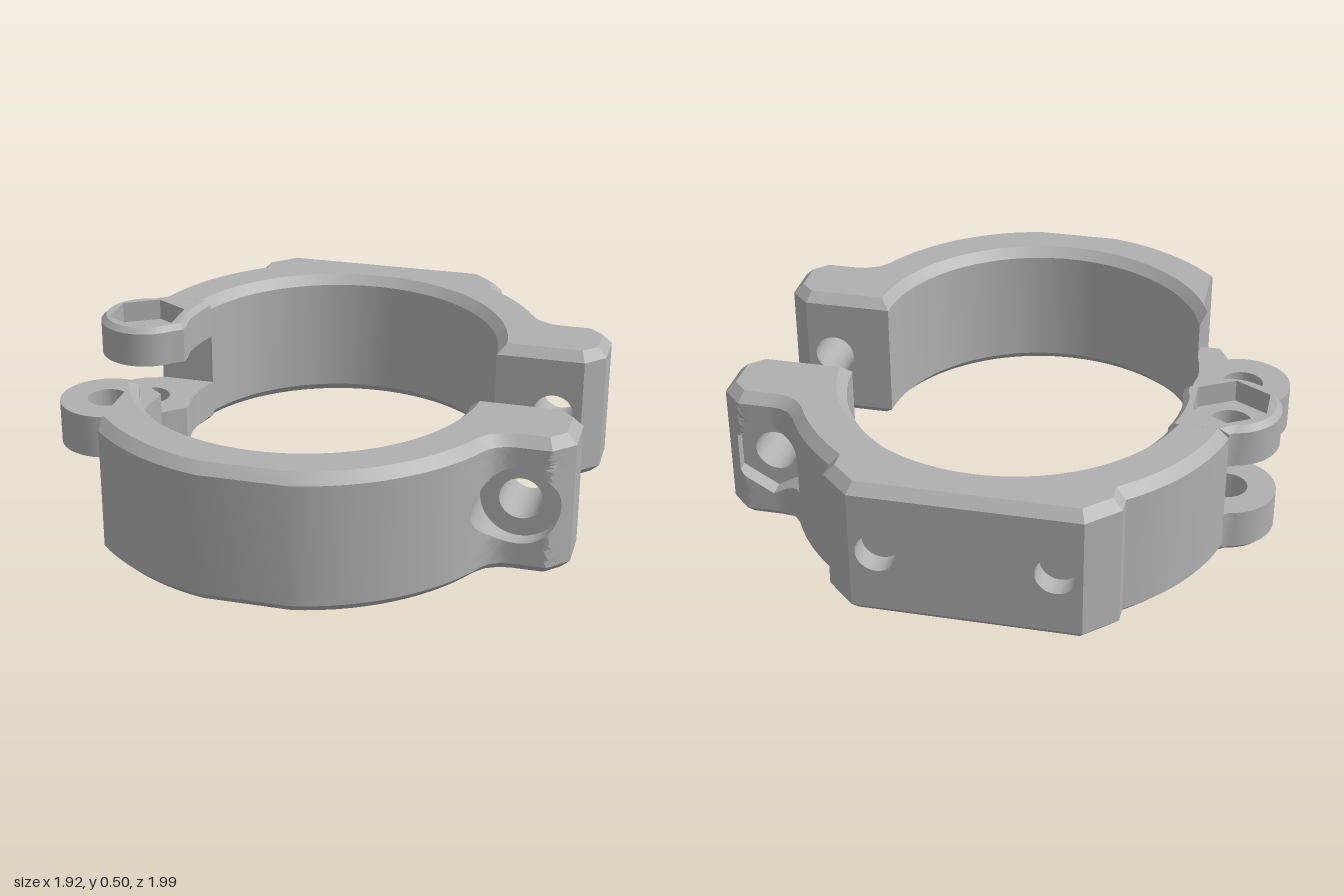
import * as THREE from 'three';
import { toCreasedNormals } from 'three/addons/utils/BufferGeometryUtils.js';

const H = 0.505, C = 0.035;            // height and edge chamfer
const CX = -0.03, CZ = 0.215;          // ring centre
const RI = 0.595, RO = 0.795;          // ring radii
const BORE = 0.075, BOLT = [0.785, 0.255], HINGE = [-0.79, 0.215];
const rad = THREE.MathUtils.degToRad;

// Outlines are loops of [x, z, chamfer (0/1), open wall], drawn for z > 0.
function arc(r, a0, a1, n, cx = CX, cz = CZ) {
  return Array.from({ length: n + 1 }, (_, i) => {
    const a = rad(a0 + (a1 - a0) * i / n);
    return [cx + r * Math.cos(a), cz + r * Math.sin(a)];
  });
}
const unchamferLast = (pts) => { pts[pts.length - 1][2] = 0; return pts; };
const hexagon = (r, [cx, cz]) => arc(r, 30, 330, 5, cx, cz);
const circle = (r, [cx, cz]) => arc(r, 0, 352.5, 47, cx, cz);

// Move every edge of a loop inwards by c, except the unchamfered ones
function inset(loop, c) {
  const n = loop.length;
  const normal = (a, b) => {
    const dx = b[0] - a[0], dz = b[1] - a[1], l = Math.hypot(dx, dz);
    return [dz / l, -dx / l];
  };
  return loop.map((p, i) => {
    const q = loop[(i + n - 1) % n];
    const m = normal(q, p), k = normal(p, loop[(i + 1) % n]);
    const cm = -c * (q[2] ?? 1), ck = -c * (p[2] ?? 1);
    const det = m[0] * k[1] - m[1] * k[0];
    if (Math.abs(det) < 0.03) return [p[0] + m[0] * cm, p[1] + m[1] * cm];
    return [p[0] + (cm * k[1] - ck * m[1]) / det, p[1] + (ck * m[0] - cm * k[0]) / det];
  });
}

// Collects triangles; side = -1 mirrors them to the back half
function surface(side) {
  const pos = [];
  const tri = (a, b, c) => {
    for (const p of side > 0 ? [a, b, c] : [a, c, b]) pos.push(p[0], p[1], p[2] * side);
  };
  const quad = (a, b, c, d) => { tri(a, b, c); tri(a, c, d); };

  function wall(lo, y0, hi, y1, skip = false) {
    lo.forEach((p, i) => {
      if (skip && p[3]) return;
      const j = (i + 1) % lo.length;
      quad([p[0], y0, p[1]], [hi[i][0], y1, hi[i][1]], [hi[j][0], y1, hi[j][1]], [lo[j][0], y0, lo[j][1]]);
    });
  }

  function cap(loop, y, up, holes = []) {
    const v = (l) => l.map((p) => new THREE.Vector2(p[0], p[1]));
    const all = [loop, ...holes].flat();
    for (const t of THREE.ShapeUtils.triangulateShape(v(loop), holes.map(v))) {
      const [a, b, c] = t.map((i) => all[i]);
      const area = (b[0] - a[0]) * (c[1] - a[1]) - (b[1] - a[1]) * (c[0] - a[0]);
      const [A, B, D] = [a, b, c].map((p) => [p[0], y, p[1]]);
      if ((area < 0) === up) tri(A, B, D); else tri(A, D, B);
    }
  }

  // Stack of outlines: levels are [y, inset]
  function prism(loop, levels, { bottom = [], top = [], through } = {}) {
    const rings = levels.map(([y, c]) => [y, c ? inset(loop, c) : loop]);
    const last = rings.length - 1;
    for (let i = 0; i < last; i++) {
      const flush = levels[i][1] === 0 && levels[i + 1][1] === 0;
      wall(rings[i][1], rings[i][0], rings[i + 1][1], rings[i + 1][0], flush);
    }
    if (through) {
      const r = [...through].reverse();
      wall(r, levels[0][0], r, levels[last][0]);
      bottom = top = [through];
    }
    cap(rings[0][1], rings[0][0], false, bottom);
    cap(rings[last][1], rings[last][0], true, top);
  }

  // Upright face following a profile of [x, z], pierced by a hole and its steps [radius, z]
  function piercedFace(profile, facing, [cx, cy], holeRadius, steps) {
    const y0 = C, y1 = H - C, x0 = profile[0][0], x1 = profile[profile.length - 1][0];
    const depth = (x) => {
      let i = 1;
      while (i < profile.length - 1 && x > profile[i][0]) i++;
      const [a, b] = [profile[i - 1], profile[i]];
      return a[1] + (b[1] - a[1]) * (x - a[0]) / (b[0] - a[0]);
    };
    const rays = Array.from({ length: 48 }, (_, i) => rad(i * 7.5));
    for (const [x] of profile) for (const y of [y0, y1]) {
      rays.push((Math.atan2(y - cy, x - cx) + 2 * Math.PI) % (2 * Math.PI));
    }
    rays.sort((a, b) => a - b);
    const angles = rays.filter((a, i) => i === 0 || a - rays[i - 1] > 1e-4);
    const columns = angles.map((a) => {
      const u = Math.cos(a), v = Math.sin(a), r = holeRadius(a);
      const edge = Math.min((u > 0 ? x1 - cx : cx - x0) / Math.abs(u), (v > 0 ? y1 - cy : cy - y0) / Math.abs(v));
      const col = [];
      for (let k = 0; k <= 8; k++) {
        const d = edge + (r - edge) * k / 8, x = cx + u * d;
        col.push([x, cy + v * d, depth(x)]);
      }
      for (const [s, z] of steps) col.push([cx + u * (s ?? r), cy + v * (s ?? r), z]);
      return col;
    });
    columns.forEach((p, i) => {
      const q = columns[(i + 1) % columns.length];
      for (let k = 0; k < p.length - 1; k++) {
        if (facing > 0) quad(p[k], q[k], q[k + 1], p[k + 1]);
        else quad(q[k], p[k], p[k + 1], q[k + 1]);
      }
    });
  }

  function mesh(name, material) {
    const g = new THREE.BufferGeometry();
    g.setAttribute('position', new THREE.Float32BufferAttribute(pos, 3));
    const m = new THREE.Mesh(toCreasedNormals(g, 0.4), material);
    m.name = name;
    return m;
  }
  return { wall, cap, prism, piercedFace, mesh };
}

// Clamp lug: outer profile, running into the ring
const lugOuter = [[0.62, 0.673], [0.65, 0.627], [0.675, 0.582], [0.70, 0.552], [0.735, 0.534],
  [0.77, 0.53], [0.89, 0.53], [0.96, 0.46]];
const lugInner = [[0.565, 0.235], [0.89, 0.235]];
const lugLoop = () => [
  [...lugInner[0], 1, true], lugInner[1], [0.96, 0.305],
  ...lugOuter.map(([x, z], i) => [x, z, 1, i > 0]).reverse(),
];
const bodyLevels = [[0, C], [C, 0], [H - C, 0], [H, C]];
const roundHole = (r) => () => r;
const hexHole = (r) => (a) => {
  const sector = Math.PI / 3, b = ((a + sector / 2) % sector) - sector / 2;
  return r * Math.cos(sector / 2) / Math.cos(b);
};

function lugFaces(s, pocket) {
  s.piercedFace(lugOuter, 1, BOLT, pocket, [[null, 0.47], [BORE, 0.47], [BORE, 0.235]]);
  s.piercedFace(lugInner, -1, BOLT, roundHole(BORE), []);
}

function frontBody(material) {
  const s = surface(1);
  const loop = [
    ...lugLoop(),
    ...arc(RO, 38, 78.8, 11), ...unchamferLast(arc(RO, 101.2, 136.3, 9)),
    ...arc(RI, 165.1, 1.93, 42).slice(0, -1),
  ];
  s.prism(loop, bodyLevels);
  lugFaces(s, roundHole(0.14));
  return s.mesh('frontHalfRing', material);
}

function backBody(material) {
  const s = surface(-1);
  const loop = [
    ...lugLoop(),
    ...arc(RO, 38, 51.5, 4),
    [0.465, 0.90], [0.36, 1, 1, true], [CX, 1, 1, true], [-0.42, 1], [-0.525, 0.90],
    ...unchamferLast(arc(RO, 128.5, 166.5, 10)),
    ...arc(RI, 161.9, 1.93, 42).slice(0, -1),
  ];
  // Nut slots open to the underside, behind the two mounting holes
  const slots = [0.27, -0.33].map((x) => [[x - 0.125, 0.84], [x + 0.125, 0.84], [x + 0.125, 0.92], [x - 0.125, 0.92]]);
  s.prism(loop, bodyLevels, { bottom: slots });
  for (const slot of slots) {
    const r = [...slot].reverse();
    s.wall(r, 0, r, 0.38);
    s.cap(slot, 0.38, false);
  }
  s.piercedFace([[CX, 1], [0.36, 1]], 1, [0.27, 0.255], roundHole(0.07), [[null, 0.92]]);
  s.piercedFace([[-0.42, 1], [CX, 1]], 1, [-0.33, 0.255], roundHole(0.07), [[null, 0.92]]);
  lugFaces(s, hexHole(0.145));
  return s.mesh('backHalfRing', material);
}

// Hinge knuckles
const knuckle = (a0) => [...arc(0.175, a0, 321, 32, ...HINGE), [-0.615, 0.135], [-0.615, 0.17]];

function frontKnuckle(material) {
  const s = surface(1);
  const loop = [...knuckle(66), ...arc(RI, 179, 165.1, 4), [-0.6, 0.45], [-0.68, 0.45]];
  s.prism(loop, [[0.175, 0], [0.335, 0]], { through: circle(BORE, HINGE) });
  return s.mesh('frontHingeKnuckle', material);
}

function backKnuckles(material) {
  const loop = [...knuckle(100), ...unchamferLast(arc(RI, 179, 161.9, 4)), [-0.803, 0.4]];
  const lower = surface(-1), upper = surface(-1), bore = circle(BORE, HINGE);
  lower.prism(loop, [[0, 0.02], [0.02, 0], [0.16, 0]], { through: bore });
  upper.prism(loop, [[0.355, 0], [0.425, 0]], { through: bore });
  upper.prism(loop, [[0.425, 0], [H - 0.02, 0], [H, 0.02]], { through: hexagon(0.145, HINGE) });
  return [lower.mesh('lowerHingeKnuckle', material), upper.mesh('upperHingeKnuckle', material)];
}

export function createModel() {
  const grey = new THREE.MeshStandardMaterial({ color: 0xb0b0b0 });
  grey.name = 'plain grey';
  const front = new THREE.Group(), back = new THREE.Group(), clamp = new THREE.Group();
  front.name = 'frontHalf';
  back.name = 'backHalf';
  clamp.name = 'hingedClamp';
  front.add(frontBody(grey), frontKnuckle(grey));
  back.add(backBody(grey), ...backKnuckles(grey));
  clamp.add(front, back);
  return clamp;
}
